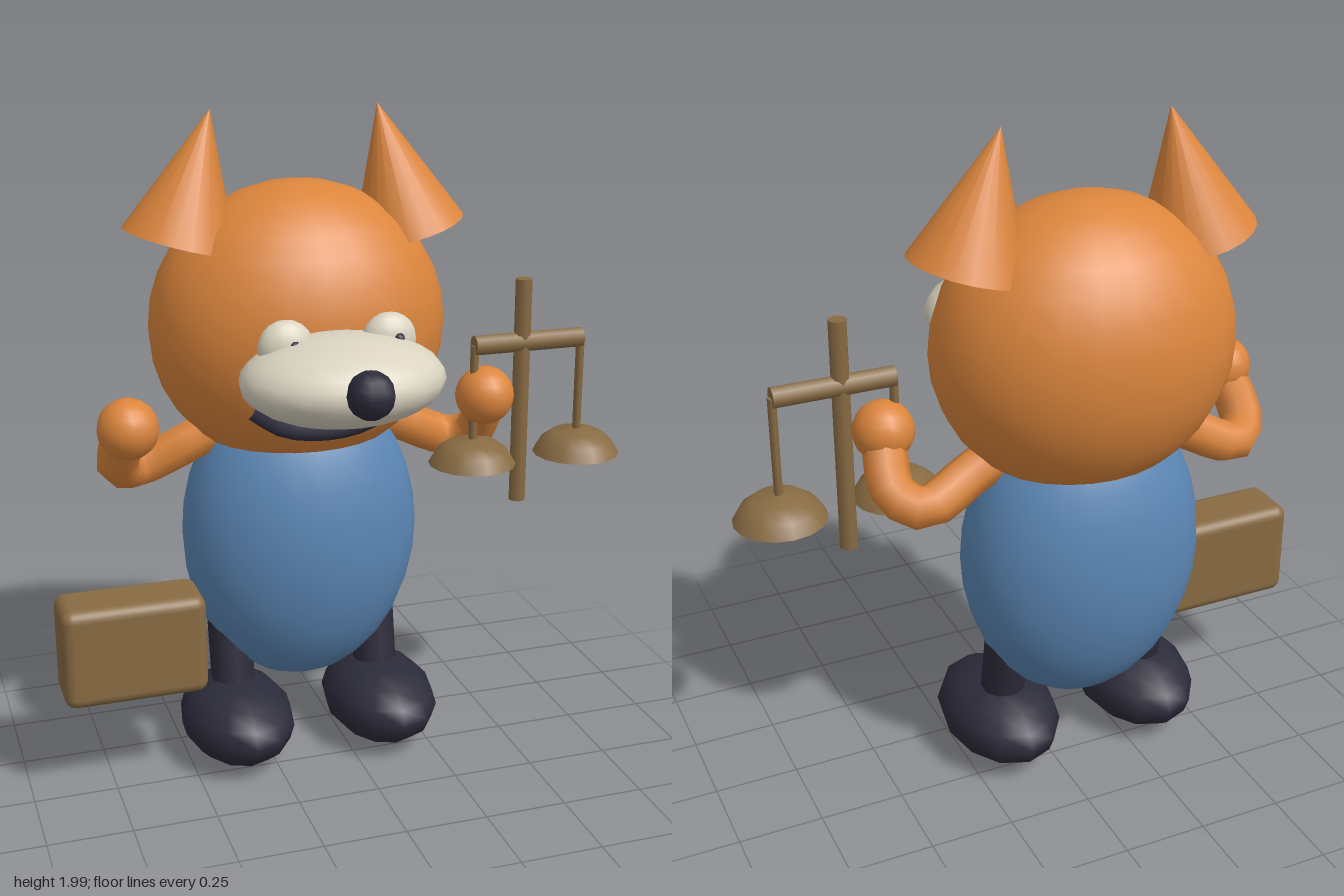
import * as THREE from 'three';
import { RoundedBoxGeometry } from 'three/addons/geometries/RoundedBoxGeometry.js';

const mat = (name, color, side = THREE.FrontSide) =>
  Object.assign(new THREE.MeshStandardMaterial({ color, side }), { name });

export function createModel() {
  const root = new THREE.Group();
  root.name = 'foxWithScales';
  const orange = mat('orangeFur', 0xdb853c);
  const blue = mat('blueShirt', 0x5b86b4);
  const dark = mat('darkNavy', 0x2c2b3a);
  const cream = mat('cream', 0xdad3c0);
  const brown = mat('brown', 0x886b43, THREE.DoubleSide);

  const add = (name, geo, material, pos = [0, 0, 0], parent = root) => {
    const m = new THREE.Mesh(geo, material);
    m.name = name;
    m.position.set(...pos);
    parent.add(m);
    return m;
  };
  const ball = (name, material, pos, radii, w = 24, h = 16, parent = root) => {
    const m = add(name, new THREE.SphereGeometry(1, w, h), material, pos, parent);
    m.scale.set(...radii);
    return m;
  };
  const rod = (name, material, from, to, r, sides = 8, parent = root) => {
    const a = new THREE.Vector3(...from), b = new THREE.Vector3(...to);
    const d = b.clone().sub(a);
    const m = add(name, new THREE.CylinderGeometry(r, r, d.length(), sides), material,
      a.add(b).multiplyScalar(0.5).toArray(), parent);
    m.quaternion.setFromUnitVectors(new THREE.Vector3(0, 1, 0), d.normalize());
    return m;
  };
  const path = (pts) => new THREE.CatmullRomCurve3(pts.map((p) => new THREE.Vector3(...p)));

  // Fox body, built around its own centre line
  const fox = new THREE.Group();
  fox.name = 'fox';
  fox.position.x = -0.11;
  root.add(fox);
  ball('torso', blue, [0, 0.71, -0.2], [0.37, 0.49, 0.272], 24, 16, fox);
  ball('head', orange, [0, 1.36, -0.2], [0.45, 0.43, 0.35], 24, 16, fox);
  ball('snout', cream, [0, 1.305, 0.245], [0.292, 0.125, 0.24], 20, 14, fox);
  ball('nose', dark, [0, 1.325, 0.485], [0.067, 0.067, 0.067], 10, 8, fox);

  // Smiling mouth
  add('mouth', new THREE.TubeGeometry(path([
    [-0.22, 1.185, 0.085], [-0.13, 1.125, 0.09], [0, 1.105, 0.095],
    [0.13, 1.125, 0.09], [0.22, 1.185, 0.085]]), 10, 0.025, 6), dark, [0, 0, 0], fox);

  // Mirrored parts
  for (const s of [-1, 1]) {
    const side = s > 0 ? 'left' : 'right';
    const ear = add(side + 'Ear', new THREE.ConeGeometry(0.17, 0.386, 20), orange,
      [s * 0.3, 1.813, -0.2], fox);
    ear.rotation.z = s * 0.263;

    ball(side + 'Eye', cream, [s * 0.15, 1.395, 0.2], [0.08, 0.078, 0.05], 14, 10, fox);
    ball(side + 'Pupil', dark, [s * 0.15 + 0.015, 1.405, 0.24], [0.018, 0.018, 0.018], 8, 6, fox);

    add(side + 'Arm', new THREE.TubeGeometry(path([
      [s * 0.2, 1.09, -0.2], [s * 0.34, 1.02, -0.2], [s * 0.5, 0.95, -0.22],
      [s * 0.565, 0.985, -0.16], [s * 0.555, 1.11, -0.06]]), 12, 0.064, 8), orange, [0, 0, 0], fox);
    ball(side + 'Hand', orange, [s * 0.55, 1.125, -0.05], [0.09, 0.09, 0.09], 16, 12, fox);

    rod(side + 'Leg', dark, [s * 0.235, 0.14, -0.14], [s * 0.235, 0.47, -0.2], 0.068, 10, fox);
    ball(side + 'Foot', dark, [s * 0.235, 0.13, -0.12], [0.175, 0.125, 0.255], 12, 8, fox);
  }

  // Case beside the right foot
  add('case', new RoundedBoxGeometry(0.43, 0.31, 0.19, 3, 0.035), brown, [-0.68, 0.46, -0.045]);

  // Balance scales held in the left hand
  const scales = new THREE.Group();
  scales.name = 'balanceScales';
  scales.position.z = -0.045;
  root.add(scales);
  rod('post', brown, [0.557, 0.775, 0], [0.557, 1.48, 0], 0.027, 8, scales);
  rod('beam', brown, [0.4, 1.284, 0], [0.755, 1.284, 0], 0.031, 8, scales);
  const dome = [[0.135, 0], [0.112, 0.04], [0.075, 0.068], [0, 0.08]]
    .map((p) => new THREE.Vector2(...p));
  for (const x of [0.402, 0.753]) {
    rod('hanger', brown, [x, 0.97, 0], [x, 1.284, 0], 0.013, 6, scales);
    add('pan', new THREE.LatheGeometry(dome, 16), brown, [x, 0.912, 0], scales);
  }
  return root;
}
